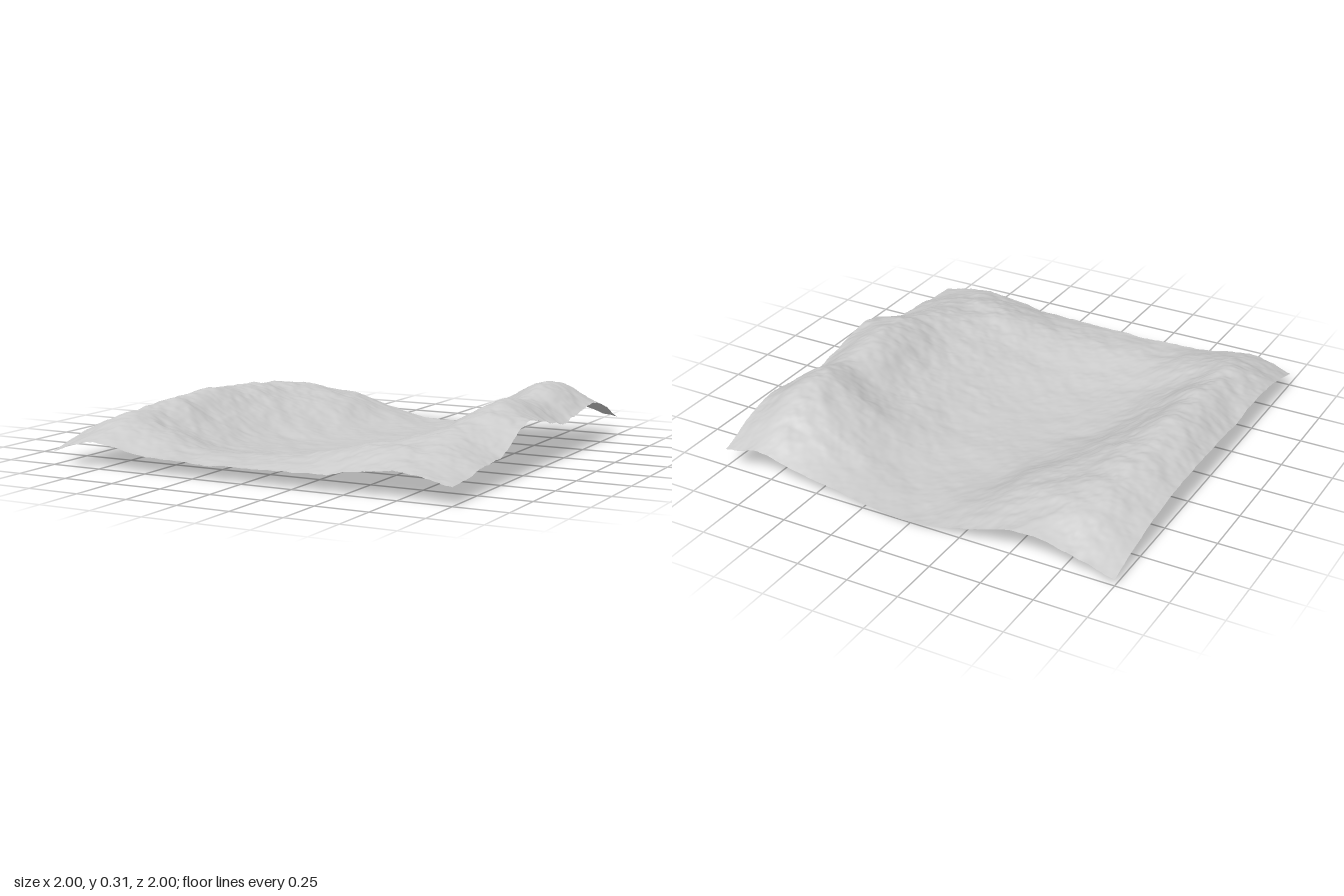
import * as THREE from 'three';

// Height sections across the valley (x = -1 to 1 in steps of 0.2), from back (z = -1) to front (z = 1)
const SECTIONS = [
  [.05, .10, .135, .11, .05, .014, .03, .06, .095, .135, .10],
  [.11, .19, .185, .145, .065, .022, .035, .10, .205, .27, .195],
  [.145, .23, .185, .13, .045, .024, .04, .12, .225, .32, .215],
  [.155, .245, .18, .09, .03, .027, .045, .11, .19, .28, .18],
  [.155, .25, .17, .065, .03, .028, .055, .115, .195, .312, .225],
  [.155, .25, .15, .06, .037, .037, .07, .13, .19, .28, .24],
  [.15, .23, .145, .075, .055, .065, .095, .15, .20, .215, .135],
  [.14, .212, .16, .11, .098, .105, .13, .17, .19, .18, .12],
  [.085, .13, .11, .088, .085, .085, .09, .092, .12, .13, .09],
];

// Smooth curve through evenly spaced values, t from 0 to 1
function spline(values, t) {
  const n = values.length - 1;
  const i = Math.min(Math.floor(t * n), n - 1);
  const f = t * n - i;
  const b = values[i], c = values[i + 1];
  const a = i > 0 ? values[i - 1] : 2 * b - c;
  const d = i + 2 <= n ? values[i + 2] : 2 * c - b;
  return b + 0.5 * f * (c - a + f * (2 * a - 5 * b + 4 * c - d + f * (3 * (b - c) + d - a)));
}

// Seeded value noise in -1..1
function hash(x, y) {
  let h = Math.imul(x, 374761393) + Math.imul(y, 668265263) + 1013;
  h = Math.imul(h ^ (h >>> 13), 1274126177);
  return ((h ^ (h >>> 16)) >>> 0) / 2147483648 - 1;
}
function noise(x, y) {
  const i = Math.floor(x), j = Math.floor(y);
  const ease = (t) => t * t * (3 - 2 * t);
  const u = ease(x - i), v = ease(y - j);
  const mix = THREE.MathUtils.lerp;
  return mix(mix(hash(i, j), hash(i + 1, j), u), mix(hash(i, j + 1), hash(i + 1, j + 1), u), v);
}

// Valley shape plus erosion bumps, rougher on high ground
function height(x, z) {
  const u = (x + 1) / 2, v = (z + 1) / 2;
  const base = spline(SECTIONS.map((row) => spline(row, u)), v);
  const rough = 0.4 + 0.7 * Math.min(1, base / 0.2);
  let bumps = 0;
  for (let o = 0, freq = 6, amp = 0.009; o < 5; o++, freq *= 2, amp *= 0.6) {
    bumps += amp * noise(x * freq + 31 * o, z * freq + 17 * o);
  }
  return base + bumps * rough;
}

export function createModel() {
  const group = new THREE.Group();
  group.name = 'valleyTerrain';

  // Ground sheet: a fine grid lifted to the valley heights
  const geometry = new THREE.PlaneGeometry(2, 2, 200, 200).rotateX(-Math.PI / 2);
  const pos = geometry.attributes.position;
  for (let i = 0; i < pos.count; i++) pos.setY(i, height(pos.getX(i), pos.getZ(i)));
  geometry.computeBoundingBox();
  geometry.translate(0, -geometry.boundingBox.min.y, 0);
  geometry.computeVertexNormals();

  const material = new THREE.MeshStandardMaterial({ color: 0xcccccc, side: THREE.DoubleSide });
  const ground = new THREE.Mesh(geometry, material);
  ground.name = 'ground';
  group.add(ground);
  return group;
}
